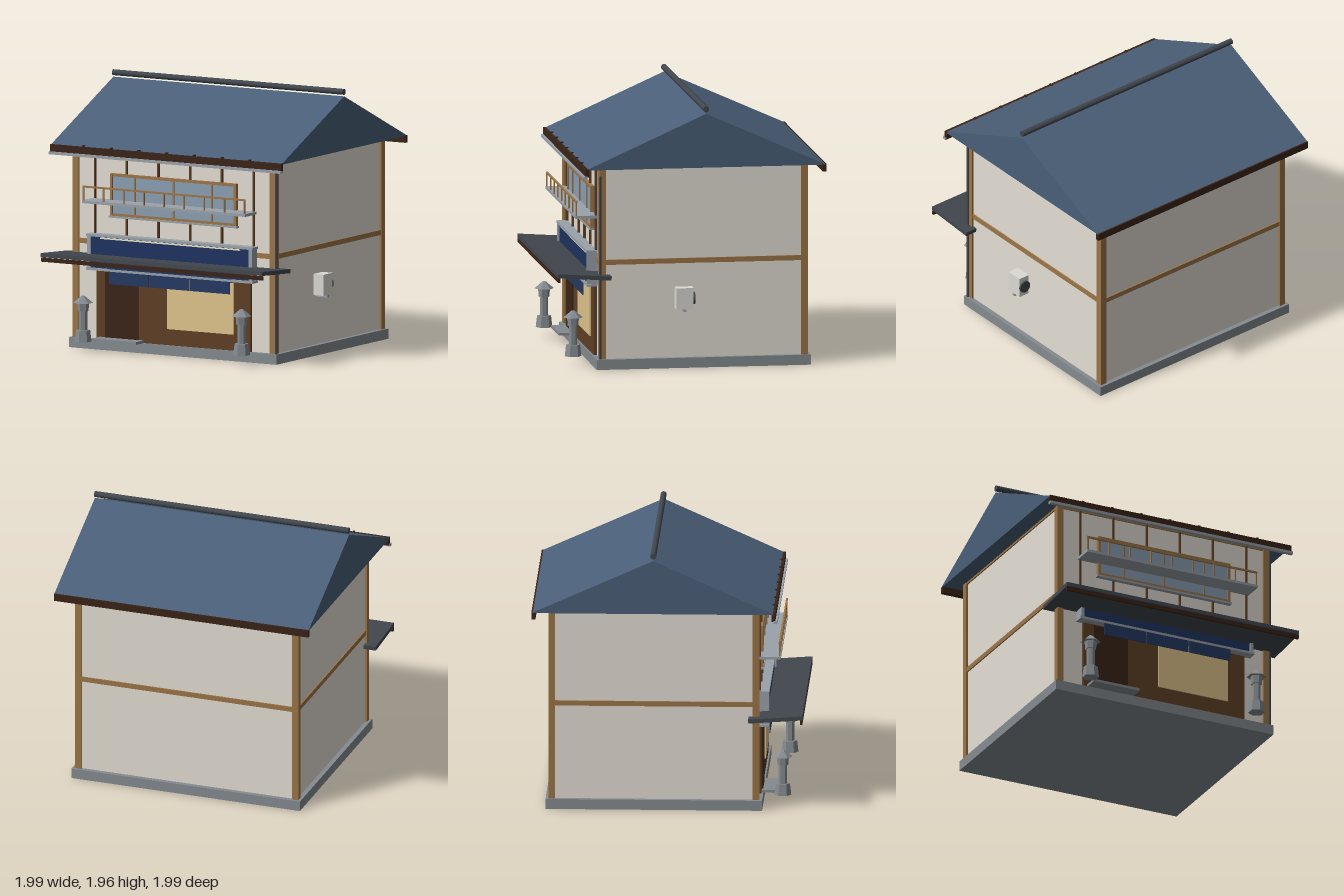
import * as THREE from 'three';

const material = (color, extra = {}) => new THREE.MeshStandardMaterial({ color, ...extra });
const M = {
  plaster: material(0xe4dfd5), timber: material(0x9c7648), brown: material(0x5f4026),
  dark: material(0x3b2418), roof: material(0x4a5f78), slate: material(0x41474e),
  stone: material(0x858b90), metal: material(0x9aa2aa), glass: material(0x8ba1b5),
  navy: material(0x1f3260), cloth: material(0x253a63, { side: THREE.DoubleSide }),
  paper: material(0xe0c58c), cream: material(0xf0e8cc), white: material(0xdcdad4),
  lantern: material(0x858b90, { flatShading: true }),
};

export function createModel() {
  const model = new THREE.Group();
  model.name = 'shopHouse';

  const add = (name, geometry, mat, x, y, z, parent = model) => {
    const mesh = new THREE.Mesh(geometry, mat);
    mesh.name = name;
    mesh.position.set(x, y, z);
    parent.add(mesh);
    return mesh;
  };
  // Box given by its minimum and maximum on each axis
  const box = (name, mat, x0, x1, y0, y1, z0, z1, parent) =>
    add(name, new THREE.BoxGeometry(x1 - x0, y1 - y0, z1 - z0), mat,
      (x0 + x1) / 2, (y0 + y1) / 2, (z0 + z1) / 2, parent);
  const group = (name) => {
    const g = new THREE.Group();
    g.name = name;
    model.add(g);
    return g;
  };

  // Foundation and walls
  box('foundation', M.stone, -0.89, 0.89, 0, 0.075, -0.89, 0.7);
  box('walls', M.plaster, -0.855, 0.855, 0.075, 1.5, -0.855, 0.665);

  // Timber frame: corner posts, middle and top beams
  const frame = group('timberFrame');
  for (const s of [-1, 1]) {
    const x = s * 0.845;
    for (const z of [-0.845, 0.655])
      box('cornerPost', M.timber, x - 0.025, x + 0.025, 0.075, 1.5, z - 0.025, z + 0.025, frame);
    for (const [y0, y1] of [[0.775, 0.812], [1.485, 1.5]])
      box('sideBeam', M.timber, x - 0.02, x + 0.02, y0, y1, -0.82, 0.63, frame);
  }
  for (const z of [-0.845, 0.655])
    for (const [y0, y1] of [[0.775, 0.812], [1.485, 1.5]])
      box('crossBeam', M.timber, -0.82, 0.82, y0, y1, z - 0.02, z + 0.02, frame);
  for (let i = 0; i < 6; i++) {
    const x = -0.68 + i * 0.272;
    box('frontBatten', M.brown, x - 0.006, x + 0.006, 0.6, 1.49, 0.66, 0.683, frame);
  }

  // Gable roof: triangle in the z-y plane, extruded along x
  const roof = group('roof');
  const gable = new THREE.Shape([
    new THREE.Vector2(-0.8, 1.5), new THREE.Vector2(0.99, 1.5), new THREE.Vector2(0.095, 1.9),
  ]);
  const prism = new THREE.ExtrudeGeometry(gable, { depth: 1.98, bevelEnabled: false });
  prism.rotateY(Math.PI / 2);
  add('gableRoof', prism, M.roof, -0.99, 0, 0, roof);
  const ridge = new THREE.CylinderGeometry(0.022, 0.022, 1.98, 16).rotateZ(Math.PI / 2);
  add('ridgeCap', ridge, M.slate, 0, 1.933, -0.095, roof);
  box('frontFascia', M.dark, -0.99, 0.99, 1.45, 1.508, 0.772, 0.802, roof);
  box('backFascia', M.dark, -0.99, 0.99, 1.45, 1.505, -0.99, -0.96, roof);
  box('gutter', M.metal, -0.995, 0.995, 1.436, 1.456, 0.787, 0.817, roof);
  for (let i = -3; i <= 3; i++) {
    const x = i * 0.2375;
    box('gutterBracket', M.dark, x - 0.008, x + 0.008, 1.49, 1.518, 0.772, 0.796, roof);
  }
  add('downpipe', new THREE.CylinderGeometry(0.01, 0.01, 1.36, 10), M.slate, 0.873, 0.755, 0.674);

  // Upper window
  const win = group('upperWindow');
  box('glass', M.glass, -0.53, 0.53, 1.01, 1.3, 0.66, 0.684, win);
  for (const s of [-1, 1]) {
    box('windowJamb', M.timber, s * 0.531 - 0.01, s * 0.531 + 0.01, 1, 1.31, 0.66, 0.695, win);
    const y = 1.155 + s * 0.147;
    box('windowRail', M.timber, -0.54, 0.54, y - 0.01, y + 0.01, 0.66, 0.694, win);
  }
  for (const x of [-0.33, 0, 0.33])
    box('mullion', M.timber, x - 0.006, x + 0.006, 1.01, 1.3, 0.66, 0.692, win);
  box('windowSill', M.metal, -0.55, 0.55, 0.985, 1, 0.66, 0.7, win);

  // Balcony with front railing
  const balcony = group('balcony');
  box('balconyFloor', M.metal, -0.7, 0.7, 1.097, 1.117, 0.67, 0.83, balcony);
  box('handrail', M.timber, -0.697, 0.697, 1.213, 1.226, 0.815, 0.828, balcony);
  for (let i = -4; i <= 4; i++) {
    const x = i * 0.1725;
    box('baluster', M.timber, x - 0.005, x + 0.005, 1.117, 1.213, 0.817, 0.827, balcony);
  }

  // Blank sign board in a metal frame
  const sign = group('signBoard');
  box('signPanel', M.navy, -0.69, 0.69, 0.61, 0.84, 0.67, 0.732, sign);
  for (const s of [-1, 1])
    box('signFrameSide', M.metal, s * 0.693 - 0.014, s * 0.693 + 0.014, 0.595, 0.86, 0.67, 0.745, sign);
  box('signFrameTop', M.metal, -0.714, 0.714, 0.842, 0.86, 0.67, 0.747, sign);
  box('signFrameBottom', M.metal, -0.714, 0.714, 0.592, 0.61, 0.67, 0.747, sign);
  box('signLight', M.cream, -0.6, 0.6, 0.828, 0.838, 0.73, 0.74, sign);

  // Sloping awning
  const awning = group('awning');
  const slab = box('awningRoof', M.slate, -0.95, 0.95, 0.685, 0.715, 0.6, 1, awning);
  slab.rotation.x = -0.07;
  box('awningFascia', M.dark, -0.95, 0.95, 0.665, 0.694, 0.98, 0.998, awning);

  // Shop front
  const shop = group('shopFront');
  box('woodPanel', M.brown, -0.66, 0.66, 0.075, 0.62, 0.66, 0.687, shop);
  box('door', M.dark, -0.58, -0.3, 0.095, 0.58, 0.66, 0.697, shop);
  box('shopWindow', M.paper, -0.05, 0.52, 0.195, 0.575, 0.66, 0.697, shop);
  box('doorStep', M.stone, -0.63, -0.255, 0.075, 0.095, 0.68, 0.8, shop);
  for (let i = -1; i <= 1; i++) {
    const x = i * 0.348;
    box('doorCurtain', M.cloth, x - 0.17, x + 0.17, 0.5, 0.615, 0.74, 0.746, shop);
  }

  // Six-sided stone lanterns
  for (const s of [-1, 1]) {
    const lantern = group(s < 0 ? 'rightLantern' : 'leftLantern');
    lantern.position.set(s * 0.68, 0, 0.845);
    for (const [name, top, bottom, y0, y1] of [
      ['lanternBase', 0.052, 0.062, 0.075, 0.16],
      ['lanternShaft', 0.031, 0.031, 0.16, 0.3],
      ['lanternHead', 0.045, 0.04, 0.3, 0.37],
      ['lanternRoof', 0.012, 0.073, 0.362, 0.413],
    ])
      add(name, new THREE.CylinderGeometry(top, bottom, y1 - y0, 6), M.lantern, 0, (y0 + y1) / 2, 0, lantern);
  }

  // Wall unit with a round fan on its back end
  const unit = group('wallUnit');
  box('unitCase', M.white, 0.85, 0.943, 0.443, 0.6, -0.01, 0.118, unit);
  const fan = new THREE.CylinderGeometry(0.046, 0.046, 0.016, 20).rotateX(Math.PI / 2);
  add('fan', fan, M.slate, 0.898, 0.52, -0.016, unit);
  box('unitBracket', M.metal, 0.85, 0.945, 0.424, 0.443, 0.044, 0.066, unit);

  return model;
}
